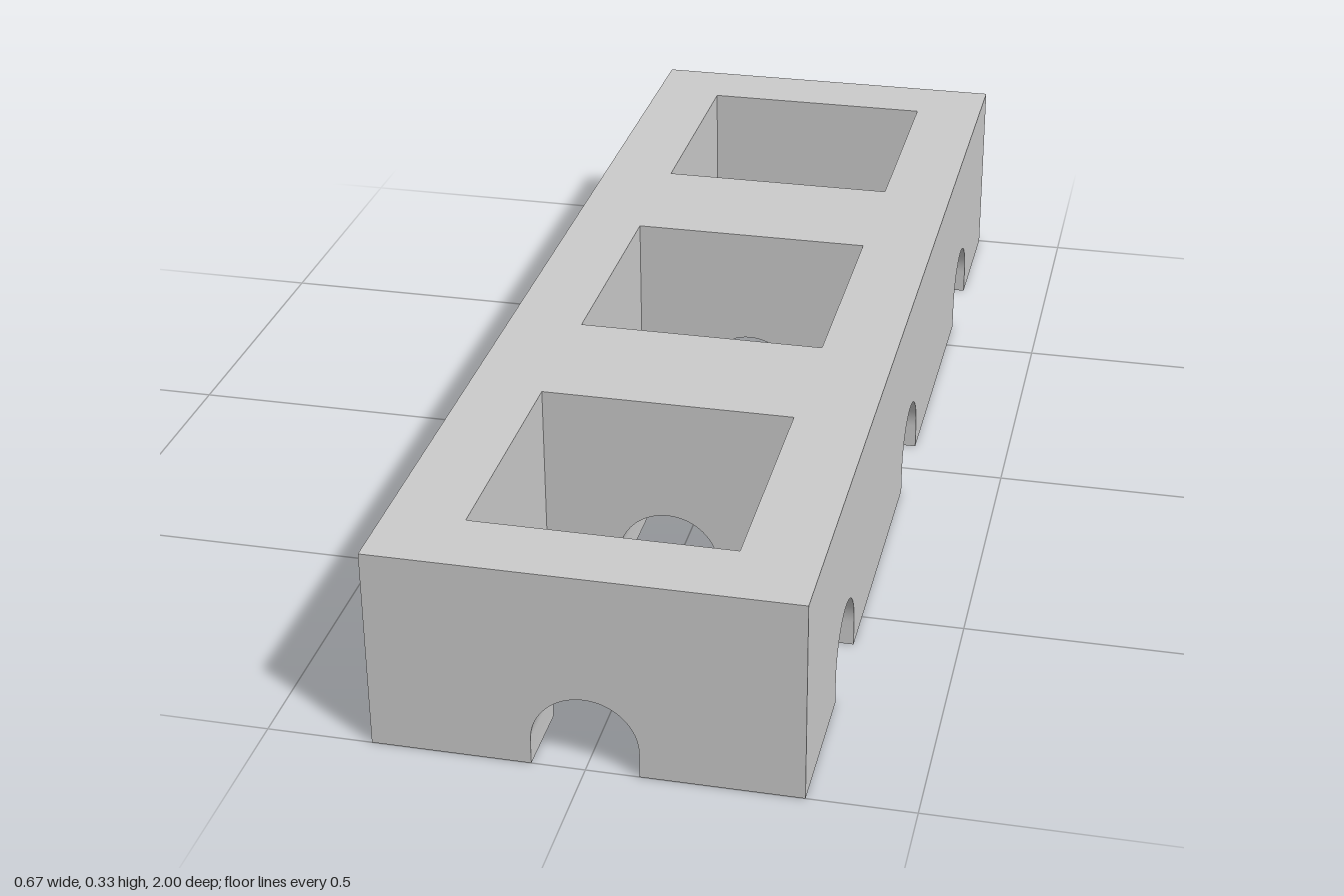
import * as THREE from 'three';
import { mergeGeometries } from 'three/addons/utils/BufferGeometryUtils.js';

const W = 1 / 3, L = 1, H = 1 / 3;      // half width, half length, height
const P = 5 / 24;                       // half size of a square pocket
const R = 1 / 12, SPRING = 1 / 24;      // arch radius and height of its straight legs
const CENTRES = [-2 / 3, 0, 2 / 3];     // pocket centres along z
const SEG = 32;

// Arch outline from left foot over the crown to right foot
function archPoints(cx = 0) {
  const pts = [new THREE.Vector2(cx - R, 0)];
  for (let i = 0; i <= SEG; i++) {
    const a = Math.PI * (1 - i / SEG);
    pts.push(new THREE.Vector2(cx + R * Math.cos(a), SPRING + R * Math.sin(a)));
  }
  pts.push(new THREE.Vector2(cx + R, 0));
  return pts;
}

// Upright face with arched notches, facing +z before turning
function wallFace(half, notches, x, z, turn) {
  const pts = [new THREE.Vector2(-half, 0)];
  notches.forEach((c) => pts.push(...archPoints(c)));
  pts.push(new THREE.Vector2(half, 0), new THREE.Vector2(half, H), new THREE.Vector2(-half, H));
  return new THREE.ShapeGeometry(new THREE.Shape(pts)).rotateY(turn).translate(x, 0, z);
}

// Arched passage lining of the given depth, visible from inside
function tunnel(depth, x, z, turn) {
  const profile = archPoints();
  const n = profile.length;
  const geo = new THREE.PlaneGeometry(1, 1, n - 1, 1);
  const pos = geo.attributes.position;
  for (let i = 0; i < pos.count; i++) {
    const p = profile[i % n];
    pos.setXYZ(i, p.x, p.y, i < n ? depth / 2 : -depth / 2);
  }
  geo.computeVertexNormals();
  return geo.rotateY(turn).translate(x, 0, z);
}

function polygon(coords) {
  return new THREE.Shape(coords.map(([x, y]) => new THREE.Vector2(x, y)));
}

export function createModel() {
  const group = new THREE.Group();
  const material = new THREE.MeshStandardMaterial({ color: 0xcccccc });
  const add = (name, parts) => {
    const mesh = new THREE.Mesh(mergeGeometries(parts), material);
    mesh.name = name;
    group.add(mesh);
  };
  const Q = Math.PI / 2;

  // Top face with three square openings
  const top = polygon([[-W, -L], [W, -L], [W, L], [-W, L]]);
  CENTRES.forEach((c) => top.holes.push(
    polygon([[-P, c - P], [-P, c + P], [P, c + P], [P, c - P]])));
  add('topFace', [new THREE.ShapeGeometry(top).rotateX(-Q).translate(0, H, 0)]);

  // Outer walls
  add('outerWalls', [
    wallFace(W, [0], 0, L, 0),
    wallFace(W, [0], 0, -L, Math.PI),
    wallFace(L, CENTRES, W, 0, Q),
    wallFace(L, CENTRES, -W, 0, -Q),
  ]);

  // Four inner walls of each pocket
  const pockets = [];
  CENTRES.forEach((c) => {
    for (let k = 0; k < 4; k++) {
      const a = k * Q;
      pockets.push(wallFace(P, [0], -P * Math.sin(a), c - P * Math.cos(a), a));
    }
  });
  add('pocketWalls', pockets);

  // Arched passages through the sides, ends and dividers
  const tunnels = [];
  for (const s of [-1, 1]) {
    CENTRES.forEach((c) => tunnels.push(tunnel(W - P, s * (W + P) / 2, c, Q)));
    tunnels.push(tunnel(1 / 8, 0, s * (L - 1 / 16), 0));
    tunnels.push(tunnel(1 / 4, 0, s / 3, 0));
  }
  add('archTunnels', tunnels);

  // Feet: L shapes at the corners, T shapes under the dividers
  const C = 2 / 3;
  const corner = [[P, C + R], [W, C + R], [W, L], [R, L], [R, C + P], [P, C + P]];
  const divider = [[P, R], [W, R], [W, C - R], [P, C - R], [P, C - P], [R, C - P], [R, P], [P, P]];
  const feet = [];
  for (const sx of [-1, 1]) for (const sz of [-1, 1]) for (const outline of [corner, divider]) {
    const shape = polygon(outline.map(([x, z]) => [x * sx, z * sz]));
    feet.push(new THREE.ShapeGeometry(shape).rotateX(Q));
  }
  add('feet', feet);

  return group;
}
